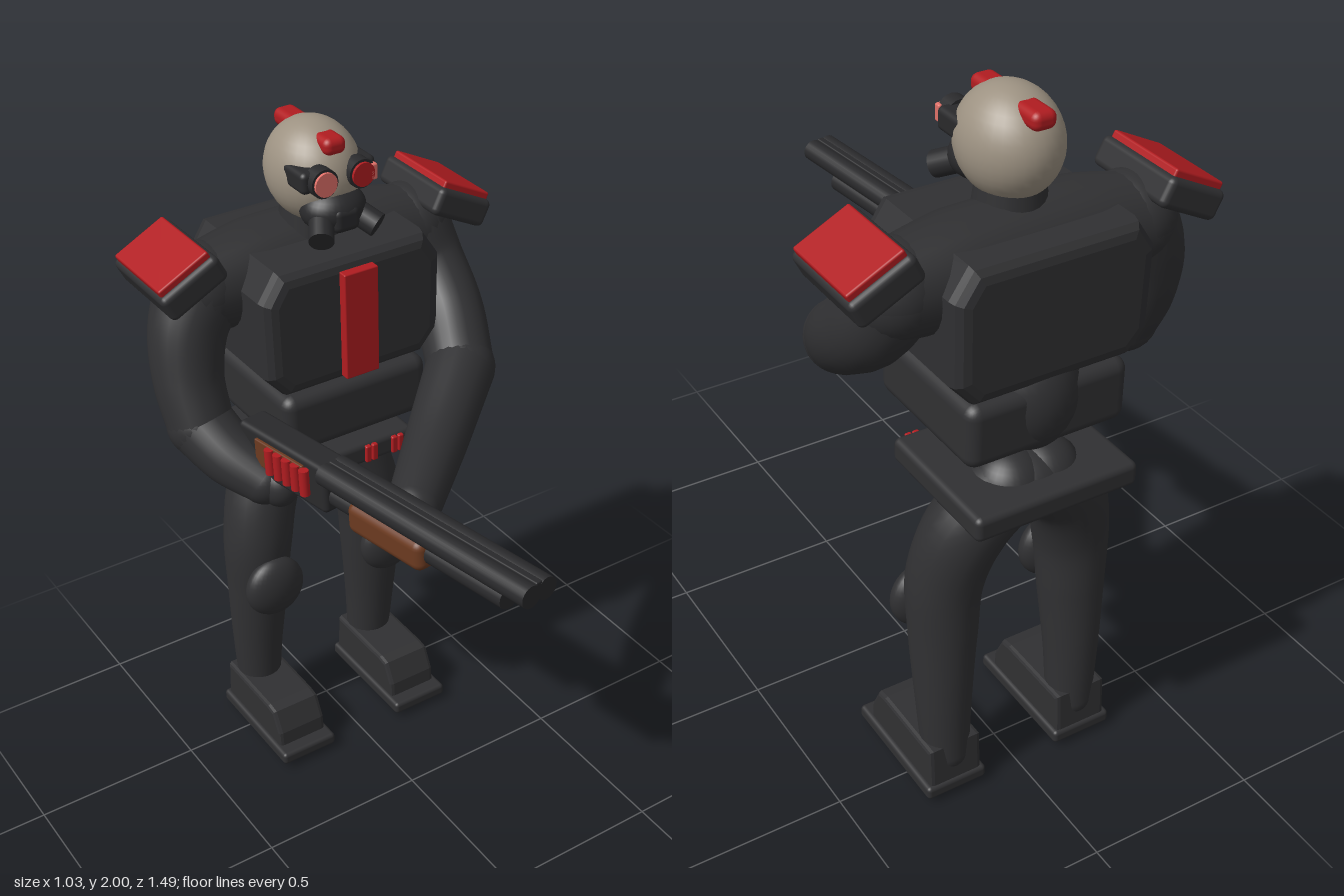
import * as THREE from 'three';
import { RoundedBoxGeometry } from 'three/addons/geometries/RoundedBoxGeometry.js';

const mat = (name, color, opts = {}) => Object.assign(new THREE.MeshStandardMaterial({ color, ...opts }), { name });

export function createModel() {
  const model = new THREE.Group();
  model.name = 'armouredTrooper';
  const armour = mat('charcoal armour', 0x303032);
  const gunmetal = mat('gunmetal', 0x29292b);
  const red = mat('red trim', 0xb01c20);
  const bone = mat('bone helmet', 0x9d9282);
  const wood = mat('brown wood', 0x6b3a20);
  const lens = mat('pink lens', 0xe07068);

  const add = (name, geo, material, pos = [0, 0, 0], rot = [0, 0, 0], parent = model) => {
    const m = new THREE.Mesh(geo, material);
    m.name = name;
    m.position.set(...pos);
    m.rotation.set(...rot);
    parent.add(m);
    return m;
  };
  const rbox = (w, h, d, r) => new RoundedBoxGeometry(w, h, d, 3, r);
  const ball = (rx, ry, rz) => new THREE.SphereGeometry(1, 32, 20).scale(rx, ry, rz);
  const rod = (r, len) => new THREE.CylinderGeometry(r, r, len, 20).rotateX(Math.PI / 2);

  // Tapered tube through [x, y, z, radius] stations, closed by balls
  const limb = (name, stations) => {
    const curve = new THREE.CatmullRomCurve3(stations.map(s => new THREE.Vector3(s[0], s[1], s[2])));
    const segs = 32, sides = 24, p = new THREE.Vector3(), c = new THREE.Vector3();
    const geo = new THREE.TubeGeometry(curve, segs, 1, sides, false);
    const pos = geo.attributes.position;
    for (let i = 0; i <= segs; i++) {
      const t = curve.getUtoTmapping(i / segs) * (stations.length - 1);
      const k = Math.min(Math.floor(t), stations.length - 2);
      const r = THREE.MathUtils.lerp(stations[k][3], stations[k + 1][3], t - k);
      curve.getPointAt(i / segs, c);
      for (let j = 0; j <= sides; j++) {
        const n = i * (sides + 1) + j;
        p.fromBufferAttribute(pos, n).sub(c).multiplyScalar(r).add(c);
        pos.setXYZ(n, p.x, p.y, p.z);
      }
    }
    add(name, geo, armour);
    for (const s of [stations[0], stations.at(-1)])
      add(name + 'End', ball(s[3], s[3], s[3]), armour, s.slice(0, 3));
  };

  // Chest armour with bevelled edges, shoulder yoke and stripe
  const chest = new THREE.Shape([[-0.2, 1.36], [0.2, 1.36], [0.235, 1.4], [0.238, 1.6],
    [0.205, 1.65], [-0.205, 1.65], [-0.238, 1.6], [-0.235, 1.4]].map(q => new THREE.Vector2(...q)));
  add('chestArmour', new THREE.ExtrudeGeometry(chest, {
    depth: 0.36, bevelSize: 0.04, bevelThickness: 0.04, bevelSegments: 3,
  }), armour, [0, 0, -0.66]);
  limb('shoulderYoke', [[-0.33, 1.58, -0.51, 0.12], [-0.17, 1.59, -0.51, 0.142],
    [0.17, 1.59, -0.51, 0.142], [0.33, 1.58, -0.51, 0.12]]);
  add('chestStripe', rbox(0.105, 0.315, 0.03, 0.004), red, [0, 1.4975, -0.249]);
  add('neck', new THREE.CylinderGeometry(0.08, 0.1, 0.16, 24), armour, [0, 1.72, -0.48]);

  // Waist, pelvis and belt
  add('waistBand', rbox(0.46, 0.18, 0.43, 0.035), armour, [0, 1.22, -0.475]);
  add('abdomen', ball(0.13, 0.17, 0.13), armour, [0, 1.25, -0.585]);
  add('pelvis', ball(0.12, 0.1, 0.11), armour, [0, 0.97, -0.59]);
  add('belt', rbox(0.475, 0.07, 0.405, 0.018), armour, [0, 0.995, -0.5425]);
  for (const x of [-0.177, -0.09, 0.087, 0.177])
    for (const dx of [-0.011, 0.011])
      add('beltShell', rbox(0.019, 0.055, 0.02, 0.005), red, [x + dx, 0.995, -0.341]);

  // Helmet, crest, goggles and breathing mask
  add('helmet', ball(0.125, 0.14, 0.147), bone, [0, 1.86, -0.467]);
  add('crest', rbox(0.066, 0.048, 0.275, 0.02), red, [0, 1.96, -0.477]);
  add('goggleBand', rbox(0.225, 0.06, 0.13, 0.015), gunmetal, [0, 1.885, -0.395]);
  for (const s of [-1, 1]) {
    add('goggleRim', rod(0.04, 0.04), gunmetal, [s * 0.057, 1.885, -0.33]);
    add('goggleLens', rod(0.033, 0.02), s < 0 ? lens : red, [s * 0.057, 1.885, -0.312]);
    add('maskFilter', rod(0.034, 0.07), gunmetal, [s * 0.07, 1.755, -0.315], [0.5, s * 0.5, 0]);
  }
  add('lensGlint', rbox(0.022, 0.045, 0.02, 0.005), lens, [0.088, 1.885, -0.312]);
  add('breathingMask', ball(0.092, 0.065, 0.08), gunmetal, [0, 1.785, -0.37]);
  add('maskNose', rbox(0.08, 0.07, 0.06, 0.02), gunmetal, [0, 1.775, -0.32]);

  for (const s of [-1, 1]) {
    // Sloping shoulder pad with red cap
    const pad = new THREE.Group();
    pad.name = 'shoulderPad';
    pad.position.set(s * 0.418, 1.667, -0.503);
    pad.rotation.z = -s * 0.47;
    model.add(pad);
    add('padBody', rbox(0.19, 0.08, 0.285, 0.018), armour, [0, 0, 0], [0, 0, 0], pad);
    add('padCap', rbox(0.165, 0.025, 0.25, 0.006), red, [0, 0.046, 0], [0, 0, 0], pad);

    // Leg, knee guard and boot
    limb('leg', [[s * 0.05, 0.98, -0.59, 0.1], [s * 0.15, 0.86, -0.56, 0.108],
      [s * 0.195, 0.7, -0.535, 0.104], [s * 0.203, 0.52, -0.54, 0.093],
      [s * 0.207, 0.3, -0.555, 0.077], [s * 0.205, 0.12, -0.565, 0.066]]);
    add('kneeGuard', ball(0.095, 0.098, 0.05), armour, [s * 0.203, 0.57, -0.435]);
    const boot = new THREE.Shape([[-0.62, 0.04], [-0.31, 0.04], [-0.315, 0.1], [-0.345, 0.16],
      [-0.375, 0.165], [-0.61, 0.165]].map(q => new THREE.Vector2(-q[0], q[1])));
    add('boot', new THREE.ExtrudeGeometry(boot, {
      depth: 0.136, bevelSize: 0.01, bevelThickness: 0.012, bevelSegments: 2,
    }), armour, [s * 0.206 - 0.068, 0, 0], [0, Math.PI / 2, 0]);
    add('sole', rbox(0.185, 0.04, 0.38, 0.012), armour, [s * 0.207, 0.037, -0.447]);
    add('heelStud', ball(0.03, 0.03, 0.05), armour, [s * 0.207, 0.03, -0.5]);
  }

  // Left arm reaches across to the fore grip
  limb('leftUpperArm', [[0.33, 1.59, -0.51, 0.12], [0.362, 1.48, -0.46, 0.108],
    [0.355, 1.38, -0.34, 0.1], [0.3, 1.28, -0.2, 0.096]]);
  limb('leftForearm', [[0.3, 1.28, -0.2, 0.098], [0.1, 1.2, -0.03, 0.087], [-0.09, 1.155, 0.14, 0.073]]);
  add('leftHand', ball(0.06, 0.05, 0.07), armour, [-0.125, 1.145, 0.195], [0, -0.8, 0]);

  // Right arm hangs down to the trigger
  limb('rightUpperArm', [[-0.33, 1.59, -0.51, 0.12], [-0.385, 1.48, -0.5, 0.108],
    [-0.41, 1.35, -0.47, 0.097], [-0.41, 1.23, -0.42, 0.092]]);
  limb('rightForearm', [[-0.41, 1.23, -0.42, 0.093], [-0.37, 1.16, -0.33, 0.084], [-0.315, 1.105, -0.25, 0.068]]);
  add('rightHand', ball(0.055, 0.065, 0.065), armour, [-0.29, 1.1, -0.22]);

  // Long gun, aimed slightly inward and upward
  const gun = new THREE.Group();
  gun.name = 'longGun';
  gun.position.set(-0.25, 1.24, 0);
  gun.rotation.set(-0.045, 0.142, 0, 'YXZ');
  model.add(gun);
  const part = (name, geo, material, pos, rot) => add(name, geo, material, pos, rot, gun);
  for (const s of [-1, 1]) part('barrel', rod(0.031, 0.75), gunmetal, [s * 0.026, 0.012, 0.375]);
  part('barrelRib', rbox(0.02, 0.02, 0.75, 0.004), gunmetal, [0, 0.034, 0.375]);
  part('magazineTube', rod(0.032, 0.65), gunmetal, [0, -0.055, 0.325]);
  part('foreGrip', rbox(0.1, 0.09, 0.28, 0.025), wood, [0, -0.06, 0.245]);
  part('receiver', rbox(0.09, 0.14, 0.36, 0.015), gunmetal, [0, -0.03, -0.16]);
  part('stock', rbox(0.06, 0.075, 0.17, 0.015), wood, [0, -0.09, -0.365], [-0.6, 0, 0]);
  part('sideSaddle', rbox(0.012, 0.08, 0.2, 0.004), wood, [-0.048, -0.02, -0.16]);
  for (let i = 0; i < 5; i++)
    part('spareShell', new THREE.CylinderGeometry(0.014, 0.014, 0.075, 12), red, [-0.058, -0.02, -0.19 + i * 0.036]);

  return model;
}
